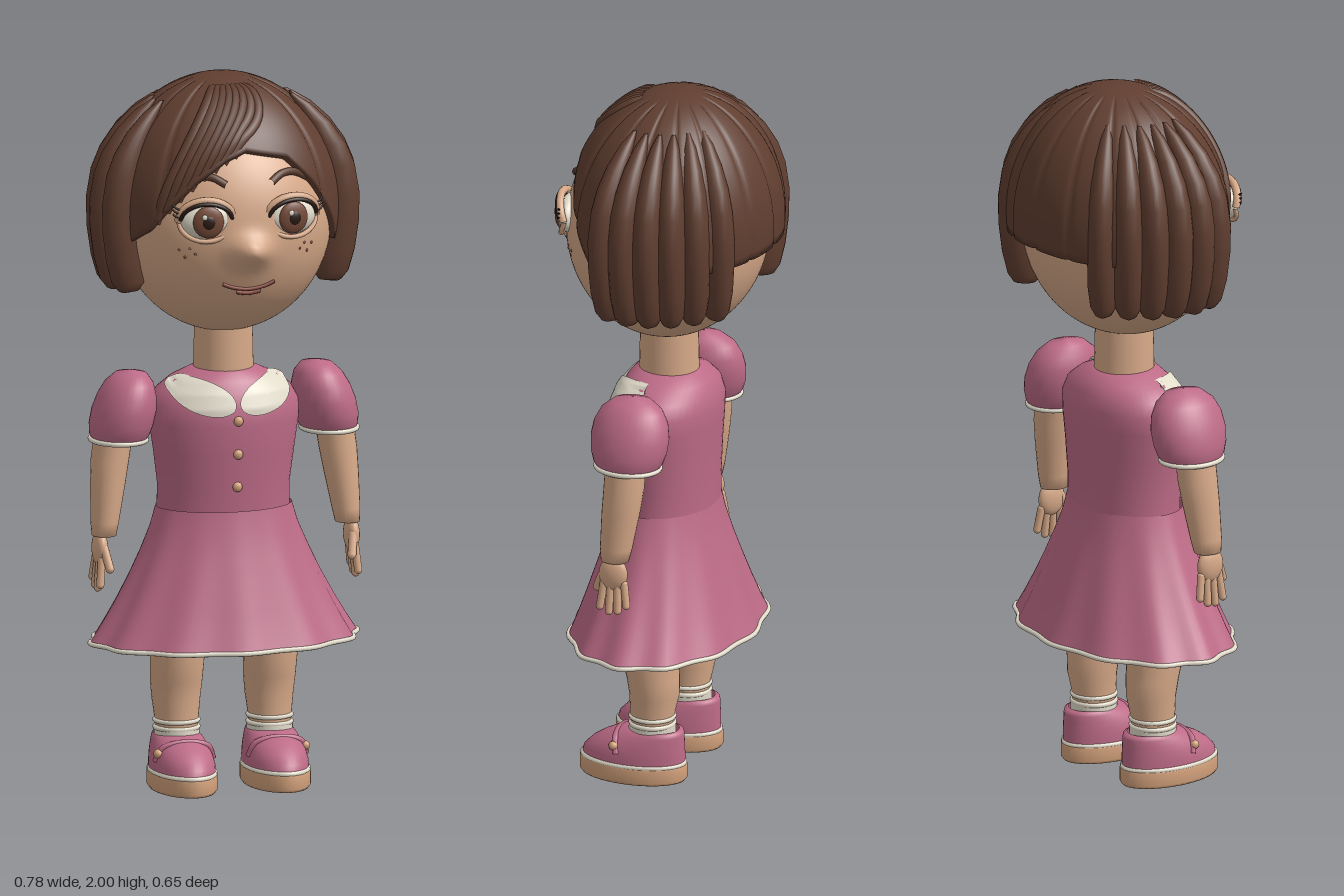
import * as THREE from 'three';

const mat = (name, color, side = THREE.FrontSide) => Object.assign(new THREE.MeshStandardMaterial({ color, side }), { name });
const skin = mat('skin', 0xd8aa89), hairMat = mat('hair brown', 0x603e30);
const pink = mat('dress pink', 0xbd6b87, THREE.DoubleSide), cream = mat('cream', 0xe2dccb, THREE.DoubleSide);
const irisMat = mat('iris brown', 0x754a38), dark = mat('dark brown', 0x2a1a15);
const lipMat = mat('lip brown', 0x8a4a40), tan = mat('tan', 0xd4a27c);

const { sin, cos, PI, sqrt, exp, abs } = Math;
const V = (x, y, z) => new THREE.Vector3(x, y, z);

function add(parent, name, geometry, material, x = 0, y = 0, z = 0) {
  const m = new THREE.Mesh(geometry, material);
  m.name = name;
  m.position.set(x, y, z);
  parent.add(m);
  return m;
}
const ball = (rx, ry, rz, seg = 24) => new THREE.SphereGeometry(1, seg, Math.ceil(seg * 0.7)).scale(rx, ry, rz);
const tube = (pts, r, n = 20, closed = false) => new THREE.TubeGeometry(new THREE.CatmullRomCurve3(pts, closed), n, r, 8, closed);

// Linear lookup in rows [key, value, value...]
function lookup(rows, key) {
  let i = 0;
  while (i < rows.length - 2 && key > rows[i + 1][0]) i++;
  const a = rows[i], b = rows[i + 1];
  const t = THREE.MathUtils.clamp((key - a[0]) / (b[0] - a[0]), 0, 1);
  return a.map((v, k) => v + (b[k] - v) * t);
}

// Closed-around surface through rows x columns points, rows running upward
function surface(rows, cols, point) {
  const pos = [], idx = [];
  for (let i = 0; i < rows; i++) for (let j = 0; j < cols; j++) pos.push(...point(i, (j / cols) * PI * 2).toArray());
  for (let i = 0; i < rows - 1; i++) for (let j = 0; j < cols; j++) {
    const k = (j + 1) % cols, a = i * cols + j, b = i * cols + k;
    idx.push(a, b, b + cols, a, b + cols, a + cols);
  }
  const g = new THREE.BufferGeometry();
  g.setAttribute('position', new THREE.Float32BufferAttribute(pos, 3));
  g.setIndex(idx);
  g.computeVertexNormals();
  return g;
}

// Loft of horizontal ellipses: [y, rx, rz, cx, cz, wave], bottom to top
function loft(rings, cols = 32, turn = 0) {
  return surface(rings.length, cols, (i, a) => {
    const [y, rx, rz, cx = 0, cz = 0, wave = 0] = rings[i];
    const w = 1 + wave * cos(12 * a), u = rx * sin(a) * w, v = rz * cos(a) * w;
    return V(cx + u * cos(turn) + v * sin(turn), y, cz - u * sin(turn) + v * cos(turn));
  });
}

// Head: ellipsoid with the nose pulled out of the face
const HEAD = [0.3, 0.32, 0.28], HEAD_Y = 1.6;
function faceZ(x, y) {
  const d = 1 - (x / HEAD[0]) ** 2 - ((y - HEAD_Y) / HEAD[1]) ** 2;
  const nose = 0.052 * exp(-((x / 0.05) ** 2) - ((y - 1.552) / 0.04) ** 2);
  return HEAD[2] * sqrt(Math.max(d, 0)) + nose;
}
function buildHead(root) {
  const head = new THREE.Group();
  head.name = 'head';
  root.add(head);
  const g = new THREE.SphereGeometry(1, 96, 72).scale(...HEAD).translate(0, HEAD_Y, 0);
  const p = g.attributes.position;
  for (let i = 0; i < p.count; i++) if (p.getZ(i) > 0.1) p.setZ(i, faceZ(p.getX(i), p.getY(i)));
  g.computeVertexNormals();
  add(head, 'face', g, skin);
  const onFace = (x, y, off = 0.004) => V(x, y, faceZ(x, y) + off);
  add(head, 'mouth', tube([-0.075, -0.045, 0, 0.045, 0.075].map(x => onFace(x, 1.44 + 3.2 * x * x)), 0.005), lipMat);
  add(head, 'lowerLip', tube([-0.035, 0, 0.035].map(x => onFace(x, 1.428 + 4 * x * x)), 0.006), lipMat);
  for (const s of [-1, 1]) {
    add(head, 'eyebrow', tube([[0.065, 1.738], [0.1, 1.757], [0.14, 1.757], [0.185, 1.735]].map(([x, y]) => onFace(s * x, y)), 0.011), hairMat);
    for (const [x, y] of [[0.15, 1.545], [0.175, 1.535], [0.19, 1.555], [0.165, 1.56]])
      add(head, 'freckle', ball(0.004, 0.004, 0.003, 8), lipMat, ...onFace(s * x, y, 0).toArray());
    const eye = new THREE.Group();
    eye.name = 'eye';
    eye.position.set(s * 0.122, 1.64, 0.243);
    eye.rotation.y = s * 0.15;
    head.add(eye);
    add(eye, 'eyeWhite', ball(0.074, 0.053, 0.032), cream);
    add(eye, 'iris', ball(0.043, 0.045, 0.014), irisMat, -s * 0.004, 0, 0.028);
    add(eye, 'pupil', ball(0.02, 0.021, 0.008, 16), dark, -s * 0.004, 0, 0.037);
    add(eye, 'eyeGlint', ball(0.008, 0.008, 0.004, 10), cream, -s * 0.004 - 0.012, 0.016, 0.042);
    const lidArc = (from, to, rx, ry, z) => Array.from({ length: 9 }, (_, i) => {
      const a = from + ((to - from) * i) / 8;
      return V(rx * cos(a), ry * sin(a), z + 0.02 * sin(abs(a)));
    });
    add(eye, 'upperLid', tube(lidArc(0, PI, 0.078, 0.06, 0.002), 0.011), skin);
    add(eye, 'lowerLid', tube(lidArc(0, -PI, 0.076, 0.056, 0), 0.007), skin);
    add(eye, 'lashLine', tube(lidArc(0.1, PI - 0.1, 0.073, 0.051, 0.012), 0.006), dark);
    for (let i = 0; i < 3; i++)
      add(eye, 'lash', tube([V(s * 0.066, 0.012 + i * 0.01, 0.015), V(s * 0.082, 0.014 + i * 0.012, 0.014), V(s * 0.093, 0.022 + i * 0.013, 0.01)], 0.003, 5), dark);
  }
}

// Hair cap: grooved dome cut off along the hairline (degrees from front, height)
const HAIRLINE = [[-180, 1.58], [-130, 1.57], [-100, 1.5], [-75, 1.53], [-51, 1.6], [-41, 1.66], [-27, 1.74], [-12, 1.8], [0, 1.825],
  [24, 1.8], [38, 1.72], [51, 1.62], [62, 1.54], [100, 1.5], [130, 1.57], [180, 1.58]];
const edgePhi = a => Math.acos((lookup(HAIRLINE, THREE.MathUtils.radToDeg(Math.atan2(sin(a), cos(a))))[1] - 1.63) / 0.37);
function capPoint(a, phi, k = 1) {
  const r = k * sin(phi);
  return V(0.335 * r * sin(a), 1.63 + 0.37 * (1 - (1 - k) * 0.6) * cos(phi), (cos(a) > 0 ? 0.305 : 0.29) * r * cos(a) - 0.03);
}
function buildHair(root) {
  const hair = new THREE.Group();
  hair.name = 'hair';
  root.add(hair);
  const rows = 30;
  add(hair, 'hairCap', surface(rows, 192, (i, a) => {
    const t = i === 0 ? 1 : 1 - (i - 1) / (rows - 2), phi = Math.max(edgePhi(a) * t, 0.002);
    const d = ((a * 16) / (PI * 2) + 0.5) % 1 - 0.5;
    const groove = cos(a) > 0.8 ? 0 : 0.02 * exp(-((d / 0.07) ** 2)) * THREE.MathUtils.smoothstep(phi, 0.2, 0.35);
    return capPoint(a, phi, i === 0 ? 0.78 : 1 - groove);
  }), hairMat);

  // Swept fringe strands
  for (let i = 0; i < 8; i++) {
    const u = i / 7, from = -0.45 + 0.85 * u, to = -0.85 + 0.7 * u, pts = [];
    for (let k = 0; k <= 8; k++) {
      const t = k / 8, a = from + (to - from) * t * t;
      pts.push(capPoint(a, 0.33 + (edgePhi(a) - 0.36) * t, 0.975 - 0.03 * (2 * t - 1) ** 6));
    }
    add(hair, 'fringeStrand', tube(pts, 0.017, 24), hairMat);
  }

  // Bob locks down both sides: outermost point of each in plan
  const tips = [[0.368, 0.08], [0.386, 0.005], [0.376, -0.07], [0.347, -0.14], [0.298, -0.205], [0.232, -0.265]];
  const profile = [[1.41, 0.84, 0.1], [1.416, 0.87, 0.55], [1.44, 0.92, 0.85], [1.5, 0.965, 1], [1.58, 0.995, 1], [1.66, 1, 1],
    [1.74, 0.965, 0.95], [1.8, 0.9, 0.85], [1.86, 0.79, 0.65], [1.91, 0.65, 0.4], [1.94, 0.52, 0.1]];
  for (const s of [-1, 1]) for (const [x, z] of tips) {
    const len = Math.hypot(x, z + 0.03), dx = x / len, dz = (z + 0.03) / len;
    add(hair, 'sideLock', loft(profile.map(([y, k, w]) => {
      const r = len * k - 0.058 * w;
      return [y, 0.043 * w, 0.058 * w, s * dx * r, dz * r - 0.03];
    }), 20, Math.atan2(s * dx, dz)), hairMat);
  }
}

// Dress bodice rows: [y, rx, rz, cx, cz]
const BODICE = [[0.775, 0.188, 0.134, 0, -0.005], [0.85, 0.187, 0.136, 0, -0.003], [0.95, 0.2, 0.142, 0, 0], [1.03, 0.212, 0.146, 0, 0],
  [1.08, 0.212, 0.145, 0, -0.003], [1.12, 0.19, 0.133, 0, -0.006], [1.15, 0.15, 0.115, 0, -0.006], [1.172, 0.1, 0.092, 0, -0.003], [1.178, 0.08, 0.075]];
function bodiceZ(x, y) {
  const [, rx, rz, , cz] = lookup(BODICE, y);
  return cz + rz * sqrt(Math.max(0, 1 - (x / rx) ** 2));
}
function buildDress(root) {
  const dress = new THREE.Group();
  dress.name = 'dress';
  root.add(dress);
  add(dress, 'bodice', loft(BODICE, 48), pink);
  const hem = [0.412, 0.375, 0.25, 0, 0, 0.022];
  add(dress, 'skirt', loft([hem, [0.46, 0.345, 0.232, 0, 0, 0.02], [0.52, 0.31, 0.212, 0, 0, 0.017], [0.59, 0.273, 0.19, 0, 0, 0.013],
    [0.66, 0.24, 0.168, 0, 0, 0.009], [0.73, 0.21, 0.149, 0, 0, 0.004], [0.79, 0.192, 0.138]], 96), pink);
  const ring = Array.from({ length: 96 }, (_, i) => {
    const a = (i / 96) * PI * 2, w = 1 + hem[5] * cos(12 * a);
    return V(hem[1] * w * sin(a), hem[0], hem[2] * w * cos(a));
  });
  add(dress, 'hemTrim', tube(ring, 0.007, 192, true), cream);
  for (const y of [0.86, 0.953, 1.047]) add(dress, 'button', ball(0.014, 0.014, 0.01, 14), tan, 0, y, bodiceZ(0, y) + 0.004);
  // Rounded collar flaps laid over the bodice
  for (const s of [-1, 1]) {
    const g = new THREE.RingGeometry(0.001, 1, 32, 8), p = g.attributes.position;
    for (let i = 0; i < p.count; i++) {
      const u = p.getX(i) * 0.088, v = p.getY(i) * 0.046;
      const x = s * 0.09 + u * 0.95 - s * v * 0.3, y = 1.112 + s * u * 0.3 + v * 0.95;
      p.setXYZ(i, x, y, bodiceZ(x, y) + 0.012);
    }
    g.computeVertexNormals();
    add(dress, 'collarFlap', g, cream);
  }
}

// Puff sleeve, arm and open hand
function buildArm(root, s) {
  const arm = new THREE.Group();
  arm.name = s > 0 ? 'leftArm' : 'rightArm';
  root.add(arm);
  add(arm, 'puffSleeve', loft([[0.985, 0.074, 0.086, s * 0.302], [1.0, 0.082, 0.098, s * 0.3], [1.03, 0.088, 0.108, s * 0.295], [1.07, 0.088, 0.112, s * 0.287],
    [1.11, 0.08, 0.106, s * 0.279], [1.145, 0.066, 0.088, s * 0.272], [1.17, 0.044, 0.056, s * 0.267], [1.18, 0.002, 0.002, s * 0.265]]), pink);
  add(arm, 'sleeveTrim', new THREE.TorusGeometry(1, 0.09, 10, 40).rotateX(PI / 2).scale(0.077, 0.08, 0.09), cream, s * 0.303, 0.987, 0);
  add(arm, 'forearm', loft([[0.715, 0.002, 0.002, s * 0.35, 0.02], [0.722, 0.034, 0.04, s * 0.35, 0.02], [0.76, 0.039, 0.046, s * 0.347, 0.017], [0.86, 0.048, 0.054, s * 0.336, 0.008],
    [0.93, 0.053, 0.057, s * 0.328, 0.002], [1.02, 0.054, 0.057, s * 0.315, 0]], 24), skin);
  add(arm, 'palm', ball(0.021, 0.05, 0.042), skin, s * 0.362, 0.685, 0.02);
  const finger = (x, y, z, x2, y2, z2, r) => {
    const a = V(s * x, y, z), d = V(s * x2, y2, z2).sub(a);
    const m = add(arm, 'finger', new THREE.CapsuleGeometry(r, d.length(), 5, 12), skin);
    m.position.copy(a).addScaledVector(d, 0.5);
    m.quaternion.setFromUnitVectors(V(0, 1, 0), d.normalize());
  };
  for (let i = 0; i < 4; i++) finger(0.364, 0.66, 0.047 - i * 0.02, 0.371, [0.588, 0.576, 0.58, 0.598][i], 0.056 - i * 0.026, 0.011);
  finger(0.358, 0.69, 0.05, 0.348, 0.635, 0.073, 0.012);
}

// Leg, ankle sock and strapped shoe
function buildLeg(root, s) {
  const leg = new THREE.Group();
  leg.name = s > 0 ? 'leftLeg' : 'rightLeg';
  leg.position.x = s * 0.134;
  root.add(leg);
  add(leg, 'bareLeg', loft([[0.12, 0.058, 0.06, 0, -0.005], [0.19, 0.061, 0.062, 0, -0.006], [0.25, 0.068, 0.07, 0, -0.012], [0.3, 0.073, 0.074, 0, -0.008],
    [0.36, 0.075, 0.08, 0, 0.002], [0.45, 0.08, 0.084, 0, 0], [0.56, 0.08, 0.084]], 28), skin);
  add(leg, 'sock', loft([[0.12, 0.064, 0.066, 0, -0.005], [0.165, 0.064, 0.066, 0, -0.006]], 28), cream);
  for (const y of [0.165, 0.185]) add(leg, 'sockCuff', new THREE.TorusGeometry(0.06, 0.007, 8, 32).rotateX(PI / 2), cream, 0, y, -0.006);
  add(leg, 'sole', loft([[0, 0.001, 0.001, 0, 0.05], [0.001, 0.086, 0.149, 0, 0.05], [0.01, 0.092, 0.156, 0, 0.05], [0.046, 0.092, 0.156, 0, 0.05], [0.052, 0.087, 0.15, 0, 0.05]], 40), tan);
  add(leg, 'welt', loft([[0.048, 0.088, 0.151, 0, 0.05], [0.05, 0.092, 0.155, 0, 0.05], [0.057, 0.091, 0.154, 0, 0.05], [0.06, 0.085, 0.148, 0, 0.05]], 40), cream);
  add(leg, 'shoeUpper', loft([[0.05, 0.087, 0.15, 0, 0.05], [0.075, 0.087, 0.147, 0, 0.047], [0.1, 0.083, 0.134, 0, 0.035], [0.12, 0.077, 0.118, 0, 0.02],
    [0.137, 0.07, 0.1, 0, 0.002], [0.147, 0.064, 0.085, 0, -0.01], [0.15, 0.058, 0.07, 0, -0.012]], 40), pink);
  add(leg, 'shoeStrap', tube([V(-0.083, 0.085, 0.07), V(-0.066, 0.122, 0.08), V(0, 0.137, 0.088), V(0.066, 0.122, 0.08), V(0.083, 0.085, 0.07)], 0.009), pink);
  add(leg, 'strapButton', ball(0.013, 0.013, 0.013, 14), tan, s * 0.078, 0.108, 0.08);
}

export function createModel() {
  const root = new THREE.Group();
  root.name = 'girlDoll';
  buildHead(root);
  buildHair(root);
  add(root, 'neck', new THREE.CylinderGeometry(0.08, 0.085, 0.22, 32), skin, 0, 1.23, -0.003);
  buildDress(root);
  for (const s of [-1, 1]) {
    buildArm(root, s);
    buildLeg(root, s);
  }
  return root;
}
